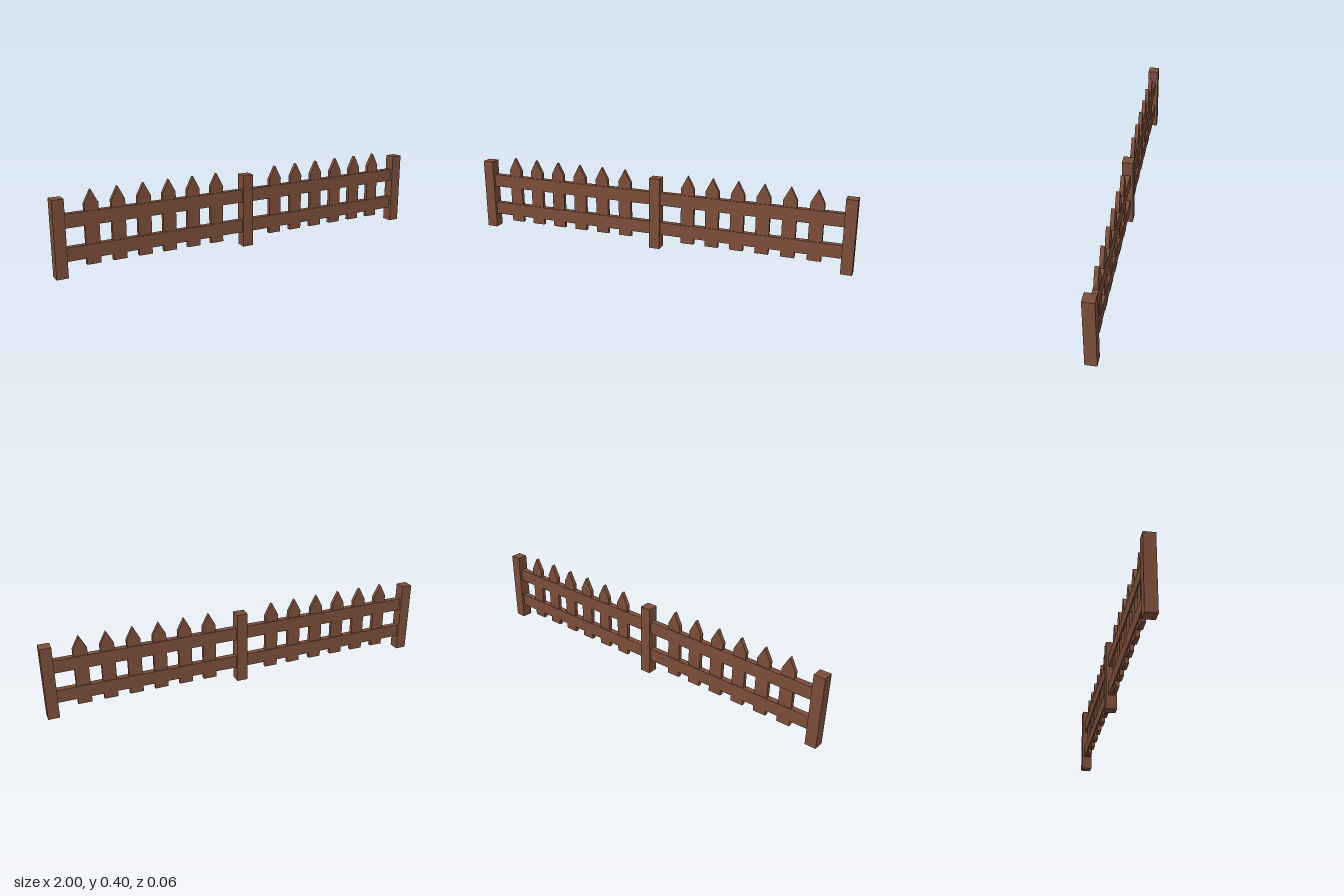
import * as THREE from 'three';

export function createModel() {
  const group = new THREE.Group();
  const wood = new THREE.MeshStandardMaterial({ color: 0x7a4d3a, flatShading: true });

  const add = (name, geometry, x, y, z) => {
    const mesh = new THREE.Mesh(geometry, wood);
    mesh.name = name;
    mesh.position.set(x, y, z);
    group.add(mesh);
  };

  // Three square posts
  const postW = 0.056, postH = 0.373, postX = 1 - postW / 2;
  const postGeo = new THREE.BoxGeometry(postW, postH, postW);
  for (const x of [-postX, 0, postX]) add('post', postGeo, x, postH / 2, 0);

  // Two rails in each bay, slightly thicker than the pickets
  const railL = postX - postW;
  const railGeo = new THREE.BoxGeometry(railL, 0.066, 0.029);
  for (const side of [-1, 1]) {
    add('lowerRail', railGeo, side * postX / 2, 0.107, 0);
    add('upperRail', railGeo, side * postX / 2, 0.265, 0);
  }

  // Pointed pickets, six per bay
  const half = 0.034, depth = 0.02;
  const outline = new THREE.Shape([
    new THREE.Vector2(-half, 0.042),
    new THREE.Vector2(half, 0.042),
    new THREE.Vector2(half, 0.333),
    new THREE.Vector2(0, 0.398),
    new THREE.Vector2(-half, 0.333),
  ]);
  const picketGeo = new THREE.ExtrudeGeometry(outline, { depth, bevelEnabled: false });
  for (const side of [-1, 1]) {
    for (let i = 0; i < 6; i++) add('picket', picketGeo, side * (0.171 + i * 0.1286), 0, -depth / 2);
  }

  return group;
}
